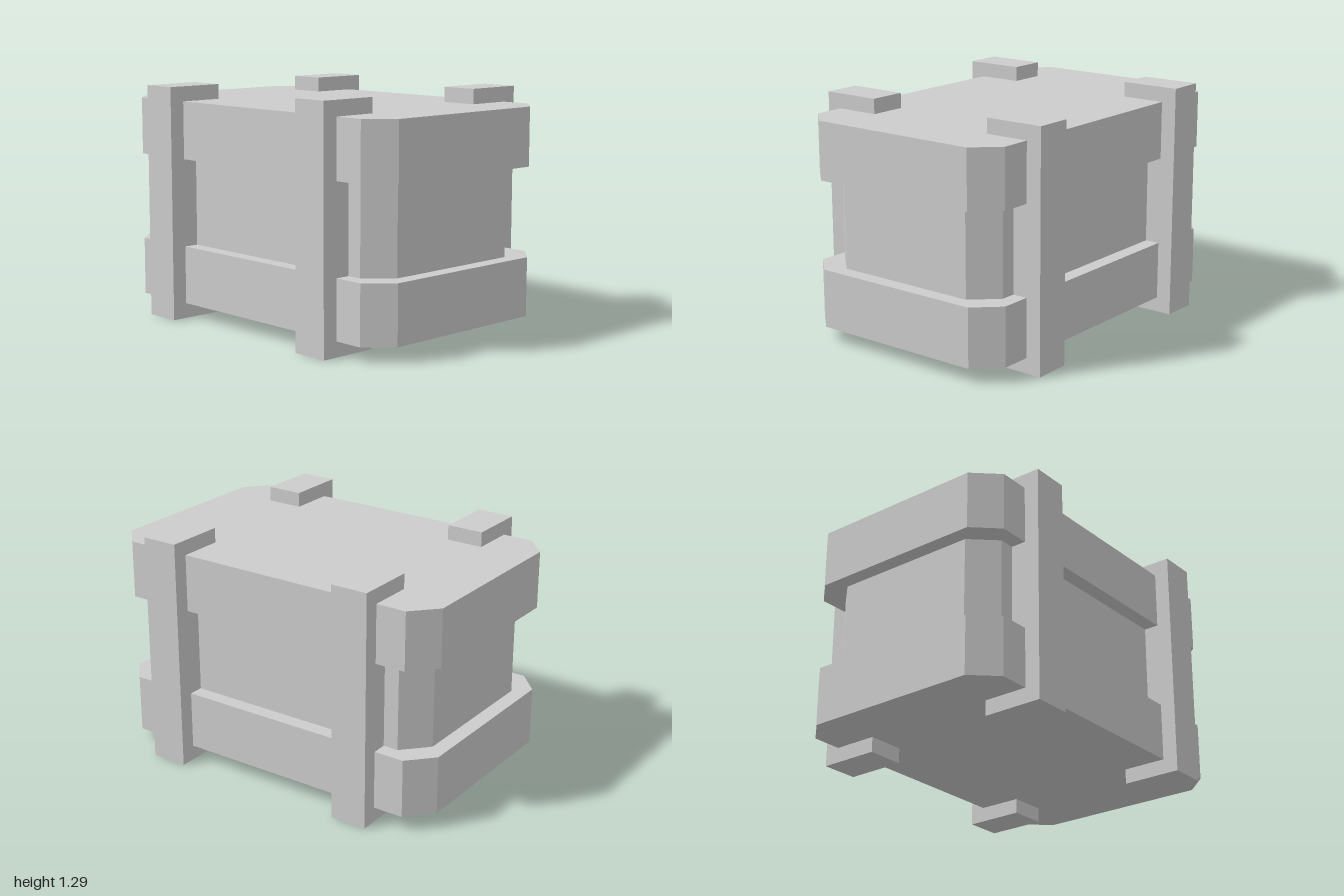
import * as THREE from 'three';

export function createModel() {
  const group = new THREE.Group();
  group.name = 'crate';
  const grey = new THREE.MeshStandardMaterial({ color: 0xcccccc });
  grey.name = 'light grey';

  // Block with chamfered vertical corners: half sizes hx, hz, cut cx by cz, from y0 to y1
  function chamferedBlock(name, hx, hz, cx, cz, y0, y1) {
    const shape = new THREE.Shape([
      [hx, -hz + cz], [hx, hz - cz], [hx - cx, hz], [-hx + cx, hz],
      [-hx, hz - cz], [-hx, -hz + cz], [-hx + cx, -hz], [hx - cx, -hz],
    ].map(([x, z]) => new THREE.Vector2(x, z)));
    const geometry = new THREE.ExtrudeGeometry(shape, { depth: y1 - y0, bevelEnabled: false });
    geometry.rotateX(-Math.PI / 2);
    geometry.translate(0, y0, 0);
    const mesh = new THREE.Mesh(geometry, grey);
    mesh.name = name;
    group.add(mesh);
  }

  // Body: wide base and lid with a recessed middle
  chamferedBlock('base', 1, 0.628, 0.125, 0.135, 0.083, 0.403);
  chamferedBlock('middle', 0.915, 0.545, 0.125, 0.135, 0.403, 0.888);
  chamferedBlock('lid', 1, 0.628, 0.125, 0.135, 0.888, 1.205);

  // Four upright posts let into the front and back
  const postGeometry = new THREE.BoxGeometry(0.207, 1.287, 0.333);
  for (const [sx, side] of [[1, 'Left'], [-1, 'Right']]) {
    for (const [sz, end] of [[1, 'front'], [-1, 'back']]) {
      const post = new THREE.Mesh(postGeometry, grey);
      post.name = `${end}${side}Post`;
      post.position.set(sx * 0.603, 0.6435, sz * 0.547);
      group.add(post);
    }
  }
  return group;
}
